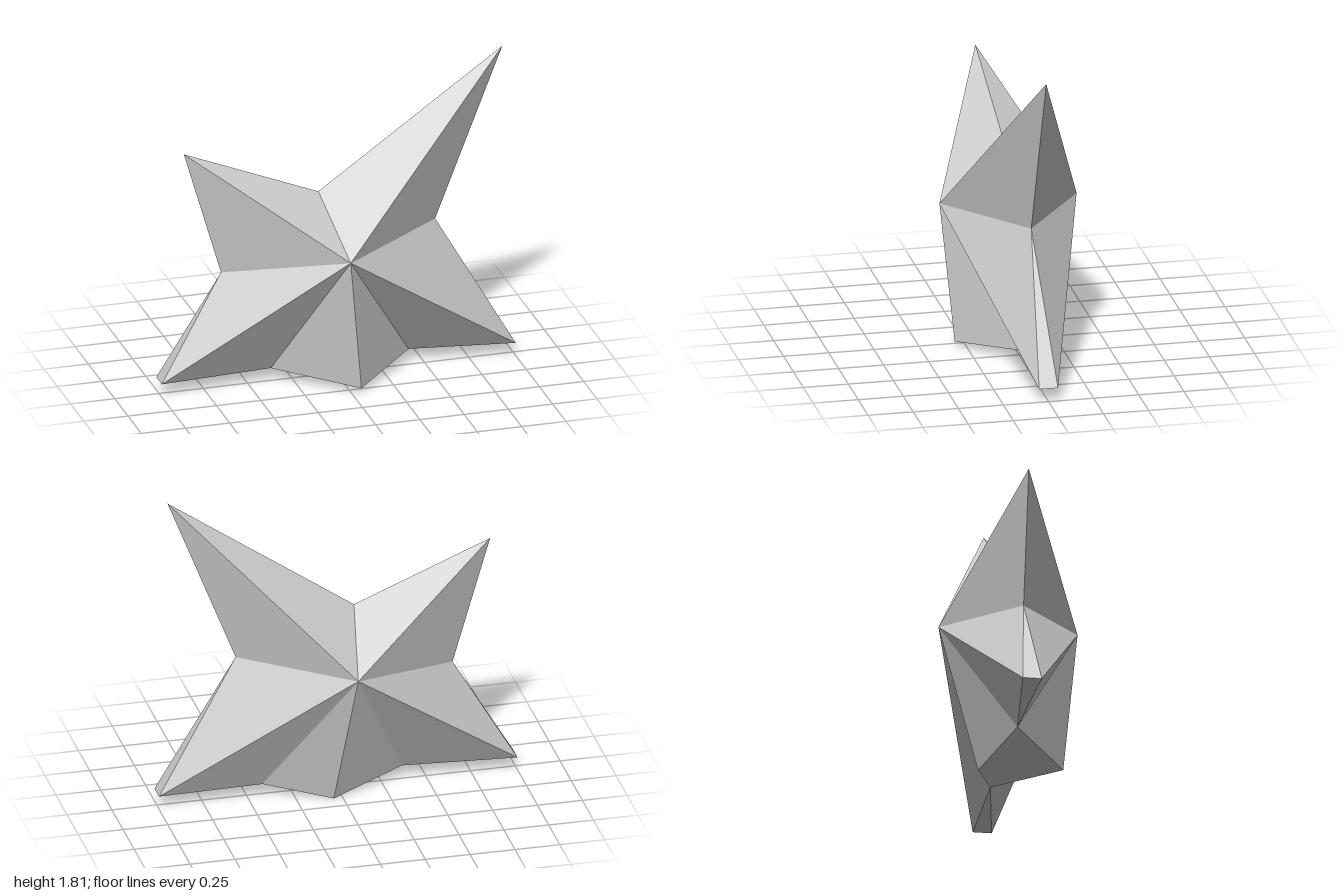
import * as THREE from 'three';

// Rim corners, anticlockwise from the tall point: front [x, y, z], and back [x, y, z] where it splits
const RIM = [
  [[0.94, 1.81, 0]],                          // tall point
  [[-0.1, 1.08, 0]],                          // upper notch
  [[-0.86, 1.39, 0]],                         // short point
  [[-0.65, 0.67, 0]],                         // right notch
  [[-1, 0.075, 0.052], [-1, 0.075, -0.052]],  // right foot
  [[-0.37, 0.075, 0.005]],                    // lower notch
  [[0.05, 0.03, 0.313], [0.05, 0, -0.153]],   // middle foot
  [[0.42, 0.075, -0.035]],                    // lower notch
  [[1, 0.075, 0.052], [1, 0.075, -0.052]],    // left foot
  [[0.56, 0.84, 0]],                          // left notch
];
const FRONT_HUB = [-0.03, 0.803, 0.38];
const BACK_HUB = [-0.03, 0.803, -0.38];

function facetMesh(name, triangles, material) {
  const geometry = new THREE.BufferGeometry();
  geometry.setAttribute('position', new THREE.Float32BufferAttribute(triangles.flat(2), 3));
  geometry.computeVertexNormals();
  const mesh = new THREE.Mesh(geometry, material);
  mesh.name = name;
  return mesh;
}

export function createModel() {
  const group = new THREE.Group();
  group.name = 'facetedStar';
  const grey = new THREE.MeshStandardMaterial({ color: 0xcccccc, flatShading: true });
  grey.name = 'lightGrey';

  const front = [], back = [], edge = [];
  RIM.forEach((corner, i) => {
    const next = RIM[(i + 1) % RIM.length];
    const f0 = corner[0], f1 = next[0];
    const b0 = corner[1] ?? f0, b1 = next[1] ?? f1;
    // Fans from each hub to the rim
    front.push([FRONT_HUB, f0, f1]);
    back.push([BACK_HUB, b1, b0]);
    // Narrow faces where the rim splits into the blunt feet
    if (b0 !== f0) edge.push([f1, f0, b0]);
    if (b1 !== f1) edge.push([f1, b0, b1]);
  });

  group.add(
    facetMesh('frontFacets', front, grey),
    facetMesh('backFacets', back, grey),
    facetMesh('footEdges', edge, grey),
  );
  return group;
}
